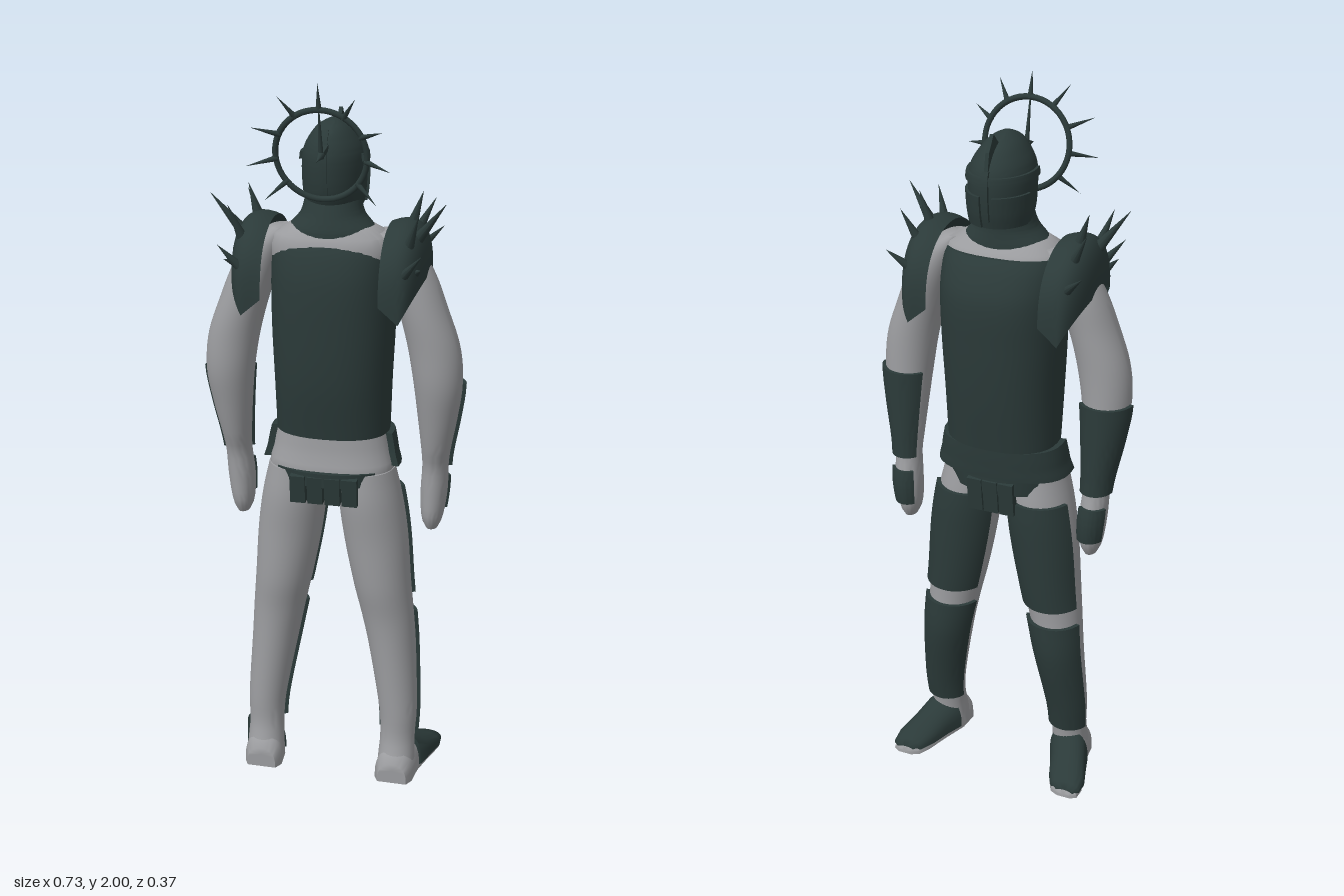
import * as THREE from 'three';
import { toCreasedNormals } from 'three/addons/utils/BufferGeometryUtils.js';

const V = (x, y, z) => new THREE.Vector3(x, y, z);

// Cross-section tables: [y, centre x, centre z, radius x, radius z]
const ARM = [
  [0.76, 0.272, -0.055, 0.016, 0.025], [0.79, 0.272, -0.055, 0.029, 0.042], [0.87, 0.276, -0.055, 0.037, 0.048],
  [0.95, 0.28, -0.045, 0.036, 0.043], [1.0, 0.282, -0.035, 0.04, 0.05], [1.1, 0.287, -0.02, 0.054, 0.06],
  [1.2, 0.288, -0.008, 0.066, 0.068], [1.3, 0.275, -0.005, 0.07, 0.07], [1.4, 0.245, -0.005, 0.066, 0.072],
  [1.5, 0.208, -0.01, 0.062, 0.072], [1.58, 0.165, -0.01, 0.05, 0.06], [1.605, 0.14, -0.01, 0.03, 0.04]];
const LEG = [
  [0.01, 0.195, 0.028, 0.055, 0.057], [0.06, 0.196, 0.02, 0.053, 0.055], [0.12, 0.196, 0.008, 0.05, 0.05],
  [0.2, 0.195, 0, 0.054, 0.057], [0.4, 0.172, -0.018, 0.067, 0.077], [0.5, 0.158, -0.015, 0.074, 0.079],
  [0.6, 0.142, -0.01, 0.081, 0.088], [0.75, 0.122, -0.008, 0.09, 0.094], [0.86, 0.108, -0.004, 0.088, 0.098],
  [0.95, 0.1, 0, 0.075, 0.09]];
const TORSO = [
  [0.87, 0, 0, 0.08, 0.06], [0.93, 0, 0, 0.168, 0.1], [1.0, 0, -0.01, 0.162, 0.1], [1.1, 0, -0.015, 0.145, 0.1],
  [1.4, 0, -0.02, 0.155, 0.11], [1.52, 0, -0.01, 0.162, 0.11], [1.59, 0, -0.004, 0.16, 0.098], [1.62, 0, 0, 0.11, 0.07]];
const CUIRASS = [
  [1.05, 0, -0.018, 0.155, 0.118], [1.2, 0, -0.016, 0.159, 0.138], [1.35, 0, -0.018, 0.165, 0.146],
  [1.48, 0, -0.02, 0.166, 0.144], [1.555, 0, -0.015, 0.162, 0.122], [1.585, 0, -0.012, 0.155, 0.104]];
const HIPS = [[0.84, 0, 0, 0.13, 0.098], [0.98, 0, 0, 0.172, 0.104]];
const COLLAR = [[1.58, 0, 0, 0.125, 0.09], [1.61, 0, 0, 0.118, 0.088], [1.65, 0, -0.005, 0.085, 0.08], [1.7, 0, -0.015, 0.072, 0.072]];
const HELMET = [
  [1.67, 0, -0.032, 0.076, 0.092], [1.71, 0, -0.028, 0.082, 0.105], [1.78, 0, -0.027, 0.084, 0.111],
  [1.82, 0, -0.025, 0.077, 0.104], [1.86, 0, -0.018, 0.053, 0.078], [1.88, 0, -0.012, 0.032, 0.048], [1.893, 0, -0.01, 0.006, 0.009]];

// Smooth lookup of a cross-section at height y
function section(table, y) {
  let i = 0;
  while (i < table.length - 2 && y > table[i + 1][0]) i++;
  const a = table[i], b = table[i + 1], p = table[Math.max(i - 1, 0)], n = table[Math.min(i + 2, table.length - 1)];
  const h = b[0] - a[0], u = (y - a[0]) / h, u2 = u * u, u3 = u2 * u;
  return a.map((v, k) => {
    const m0 = (b[k] - p[k]) / (b[0] - p[0]) * h, m1 = (n[k] - v) / (n[0] - a[0]) * h;
    return (2 * u3 - 3 * u2 + 1) * v + (u3 - 2 * u2 + u) * m0 + (3 * u2 - 2 * u3) * b[k] + (u3 - u2) * m1;
  });
}

// Closed surface through equal loops of points; s = -1 mirrors it
function skin(loops, s = 1, crease = 0.7) {
  const n = loops[0].length, pos = [], idx = [];
  const put = (p) => pos.push(p.x * s, p.y, p.z);
  const tri = (a, b, c) => (s > 0 ? idx.push(a, b, c) : idx.push(a, c, b));
  loops.forEach((l) => l.forEach(put));
  for (let i = 0; i < loops.length - 1; i++) for (let j = 0; j < n; j++) {
    const a = i * n + j, b = i * n + (j + 1) % n;
    tri(a, a + n, b);
    tri(b, a + n, b + n);
  }
  [0, loops.length - 1].forEach((i) => {
    const c = pos.length / 3, mid = V(0, 0, 0);
    loops[i].forEach((p) => mid.addScaledVector(p, 1 / n));
    put(mid);
    for (let j = 0; j < n; j++) {
      const a = i * n + j, b = i * n + (j + 1) % n;
      if (i === 0) tri(c, a, b); else tri(c, b, a);
    }
  });
  const g = new THREE.BufferGeometry();
  g.setAttribute('position', new THREE.Float32BufferAttribute(pos, 3));
  g.setIndex(idx);
  return toCreasedNormals(g, crease);
}

function rim([y, cx, cz, rx, rz], a, off, power) {
  const f = (v) => Math.sign(v) * Math.pow(Math.abs(v), power);
  return V(cx + (rx + off) * f(Math.cos(a)), y, cz + (rz + off) * f(Math.sin(a)));
}

function loft(table, s = 1, power = 1, rows = 30, seg = 32) {
  const y0 = table[0][0], y1 = table[table.length - 1][0];
  return skin(Array.from({ length: rows + 1 }, (_, i) => {
    const c = section(table, y0 + (y1 - y0) * i / rows);
    return Array.from({ length: seg }, (_, j) => rim(c, j / seg * Math.PI * 2, 0, power));
  }), s);
}

// Armour plate hugging a lofted limb between two heights and two angles
function plate(table, y0, y1, a0, a1, off, s = 1, power = 1) {
  const rows = 10, seg = 18, loops = [];
  for (let i = -1; i <= rows + 1; i++) {
    const c = section(table, y0 + (y1 - y0) * THREE.MathUtils.clamp(i / rows, 0, 1));
    const end = i < 0 || i > rows, loop = [];
    for (let j = -1; j <= seg + 1; j++) {
      const a = a0 + (a1 - a0) * THREE.MathUtils.clamp(j / seg, 0, 1);
      loop.push(rim(c, a, end || j < 0 || j > seg ? -0.01 : off, power));
    }
    loops.push(loop);
  }
  return skin(loops, s);
}

function foot(table, y0, s) {
  return skin(table.map(([z, cx, w, h]) => Array.from({ length: 17 }, (_, j) => {
    const a = j / 16 * Math.PI;
    return V(cx + w * Math.cos(a), y0 + (h - y0) * Math.pow(Math.sin(a), 0.65), z);
  })), s, 0.9);
}

// Curved shoulder guard arching from front to back
function pauldron(s) {
  const loops = [];
  for (let i = 0; i <= 24; i++) {
    const t = (i / 24 * 2 - 1) * Math.PI / 2 * 0.97, c = Math.cos(t), z = -0.006 + 0.167 * Math.sin(t);
    const top = V(0.155, 1.42 + 0.21 * Math.pow(c, 0.7), z), low = V(0.205 + 0.055 * c, 1.395 + 0.105 * c, z);
    const ctrl = V(low.x + 0.005, top.y + 0.045, z);
    loops.push(new THREE.QuadraticBezierCurve3(top, ctrl, low).getPoints(12));
  }
  return skin(loops, s);
}

export function createModel() {
  const model = new THREE.Group();
  const cloth = new THREE.MeshStandardMaterial({ color: 0x9c9da0 });
  cloth.name = 'grey body';
  const steel = new THREE.MeshStandardMaterial({ color: 0x2b3a39 });
  steel.name = 'dark armour';
  const add = (name, geo, mat = steel, parent = model) => {
    const m = new THREE.Mesh(geo, mat);
    m.name = name;
    parent.add(m);
    return m;
  };
  const spike = (name, from, to, r, parent = model) => {
    const dir = to.clone().sub(from);
    const m = add(name, new THREE.ConeGeometry(r, dir.length(), 10), steel, parent);
    m.position.copy(from).addScaledVector(dir, 0.5);
    m.quaternion.setFromUnitVectors(V(0, 1, 0), dir.normalize());
  };
  const box = (name, w, h, d, x, y, z, parent = model) => {
    const m = add(name, new THREE.BoxGeometry(w, h, d), steel, parent);
    m.position.set(x, y, z);
    return m;
  };
  const PI = Math.PI;

  // Torso and its armour
  add('torso', loft(TORSO, 1, 0.82), cloth);
  add('cuirass', loft(CUIRASS, 1, 0.85));
  add('collar', loft(COLLAR));
  add('belt', plate(TORSO, 0.96, 1.05, PI * 0.95, PI * 2.05, 0.018, 1, 0.82));
  add('rearHipBand', plate(HIPS, 0.915, 0.955, PI * 0.22, PI * 0.78, 0.012));
  for (const x of [-0.072, -0.024, 0.024, 0.072])
    box('rearTasset', 0.042, 0.08, 0.024, x, 0.905, 0.1).rotation.x = 0.12;
  add('frontHipBand', plate(HIPS, 0.91, 0.965, PI * 1.25, PI * 1.75, 0.018));
  for (const x of [-0.046, 0, 0.046])
    box('frontTasset', 0.042, 0.1, 0.024, x, 0.9, -0.108).rotation.x = -0.12;

  // Helmet with brow band, cheek guards, nose ridge and crest
  add('helmet', loft(HELMET));
  add('browBand', plate(HELMET, 1.785, 1.805, PI * 0.9, PI * 2.1, 0.007));
  for (const [a, b] of [[1.08, 1.44], [1.56, 1.92]])
    add('cheekGuard', plate(HELMET, 1.672, 1.755, PI * a, PI * b, 0.007));
  add('noseRidge', plate(HELMET, 1.69, 1.82, PI * 1.47, PI * 1.53, 0.01));
  add('rearRidge', plate(HELMET, 1.7, 1.87, PI * 0.48, PI * 0.52, 0.005));
  const fin = new THREE.Shape([[0.05, 1.86], [0.097, 1.905], [0.125, 1.865], [0.142, 1.78], [0.11, 1.78]].map((p) => new THREE.Vector2(...p)));
  const crest = add('crest', new THREE.ExtrudeGeometry(fin, { depth: 0.01, bevelEnabled: false }));
  crest.rotation.y = PI / 2;
  crest.position.x = -0.005;

  // Spiked ring behind the head
  const halo = new THREE.Group();
  halo.name = 'halo';
  halo.position.set(0, 1.82, 0.125);
  halo.rotation.x = 0.19;
  model.add(halo);
  add('haloRing', new THREE.TorusGeometry(0.118, 0.008, 8, 48), steel, halo);
  for (let k = -4; k <= 4; k++) {
    const a = k * 0.56, sn = Math.sin(a), cs = Math.cos(a);
    spike('haloSpike', V(sn * 0.115, cs * 0.115, 0), V(sn * 0.186, cs * 0.186, 0.045 * Math.abs(sn)), 0.008, halo);
  }
  spike('haloRod', V(0, -0.01, 0), V(0, 0.16, 0), 0.007, halo);
  spike('haloBackSpike', V(0, 0, 0), V(0, 0, 0.05), 0.01, halo);
  box('haloMount', 0.014, 0.014, 0.07, 0, 0, -0.035, halo);

  // Shoulder spikes: base, tip
  const spikes = [
    [0.195, 1.52, -0.125, 0.27, 1.59, -0.165], [0.2, 1.57, -0.08, 0.257, 1.68, -0.1],
    [0.2, 1.6, -0.025, 0.235, 1.71, -0.03], [0.22, 1.58, 0.035, 0.312, 1.7, 0.065],
    [0.21, 1.56, 0.08, 0.25, 1.68, 0.115], [0.195, 1.5, 0.125, 0.268, 1.585, 0.158],
    [0.225, 1.51, 0.07, 0.26, 1.54, 0.13]];

  // Limbs and their plates
  for (const s of [1, -1]) {
    const side = s > 0 ? 'left' : 'right';
    add(side + 'Arm', loft(ARM, s, 1, 40), cloth);
    add(side + 'Vambrace', plate(ARM, 0.95, 1.2, PI * 1.2, PI * 1.98, 0.01, s));
    add(side + 'HandGuard', plate(ARM, 0.81, 0.91, PI * 1.25, PI * 1.85, 0.009, s));
    add(side + 'Leg', loft(LEG, s, 1, 40), cloth);
    add(side + 'ThighPlate', plate(LEG, 0.555, 0.88, PI * 1.15, PI * 1.88, 0.011, s));
    add(side + 'ShinPlate', plate(LEG, 0.13, 0.5, PI * 1.1, PI * 1.9, 0.011, s));
    add(side + 'Foot', foot([[0.085, 0.195, 0.042, 0.06], [0.06, 0.195, 0.055, 0.09], [0, 0.2, 0.055, 0.11],
      [-0.07, 0.222, 0.051, 0.07], [-0.14, 0.244, 0.05, 0.04], [-0.175, 0.252, 0.04, 0.025], [-0.186, 0.255, 0.02, 0.015]], 0, s), cloth);
    add(side + 'ToeCap', foot([[-0.012, 0.204, 0.056, 0.1], [-0.016, 0.205, 0.06, 0.11], [-0.07, 0.224, 0.056, 0.08],
      [-0.13, 0.243, 0.055, 0.055], [-0.168, 0.252, 0.044, 0.04], [-0.18, 0.255, 0.025, 0.028]], 0.014, s));
    add(side + 'Pauldron', pauldron(s));
    for (const [x, y, z, tx, ty, tz] of spikes)
      spike(side + 'ShoulderSpike', V(x * s, y, z), V(tx * s, ty, tz), 0.019);
  }
  return model;
}
